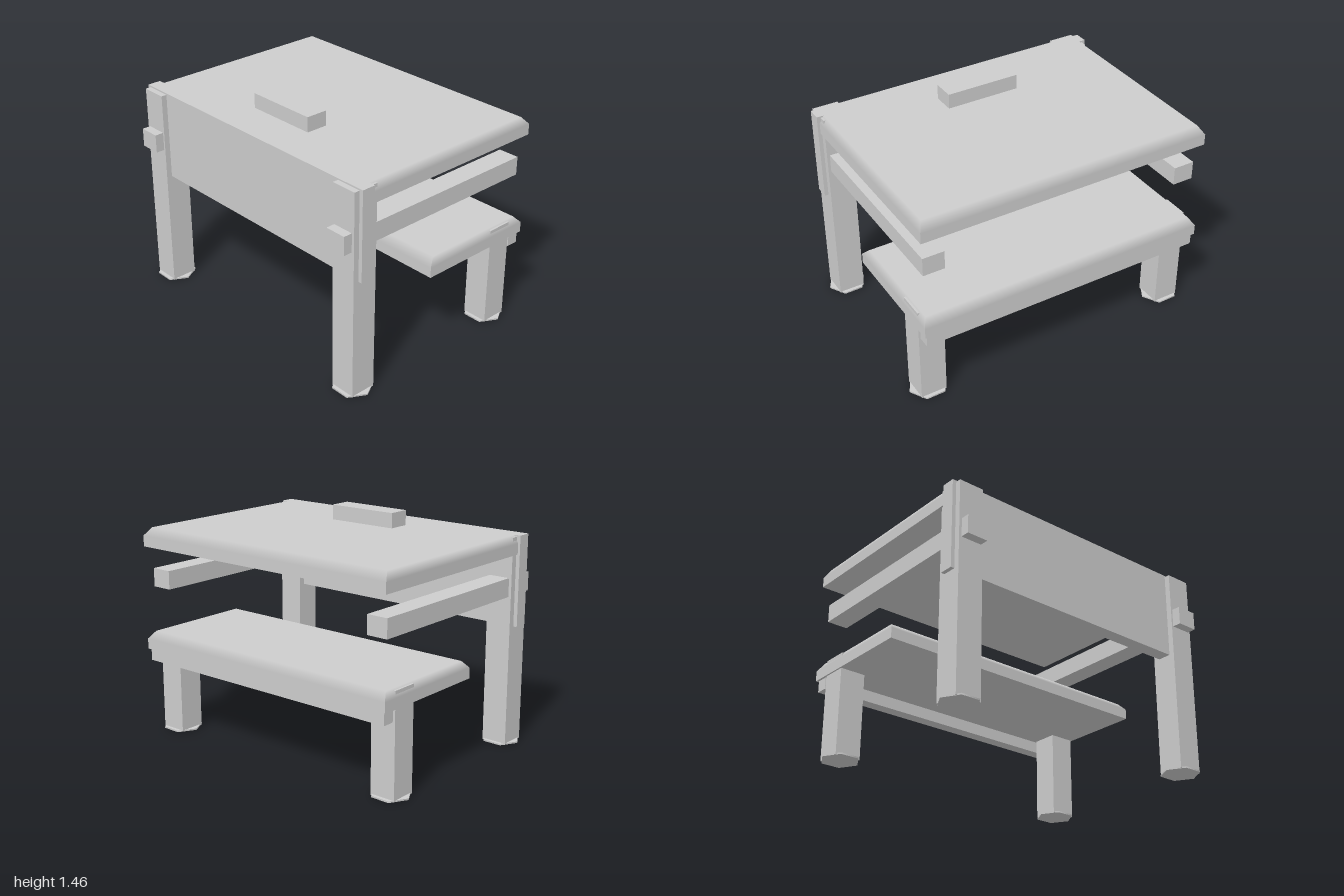
import * as THREE from 'three';

const grey = new THREE.MeshStandardMaterial({ color: 0xcccccc });
grey.name = 'light grey';

// Box given by its min and max on each axis
function box(name, x0, x1, y0, y1, z0, z1) {
  const mesh = new THREE.Mesh(new THREE.BoxGeometry(x1 - x0, y1 - y0, z1 - z0), grey);
  mesh.position.set((x0 + x1) / 2, (y0 + y1) / 2, (z0 + z1) / 2);
  mesh.name = name;
  return mesh;
}

// Board with softly shaded bevels round its top; bevel sizes: side, back, front, height
function board(name, hx, y0, y1, z0, z1, bevelX, bevelBack, bevelFront, bevelY) {
  const ring = (y, dx, db, df) => [
    [-hx + dx, y, z1 - df], [hx - dx, y, z1 - df],
    [hx - dx, y, z0 + db], [-hx + dx, y, z0 + db],
  ];
  const low = ring(y0, 0, 0, 0);
  const mid = ring(y1 - bevelY, 0, 0, 0);
  const top = ring(y1, bevelX, bevelBack, bevelFront);
  const up = [0, 1, 0], down = [0, -1, 0];
  const out = [[0, 0, 1], [1, 0, 0], [0, 0, -1], [-1, 0, 0]];
  const positions = [], normals = [];
  // Corners counter-clockwise from outside; n1 for the first two, n2 for the last two
  const quad = (a, b, c, d, n1, n2) => {
    positions.push(...a, ...b, ...c, ...a, ...c, ...d);
    normals.push(...n1, ...n1, ...n2, ...n1, ...n2, ...n2);
  };
  out.forEach((n, i) => {
    const j = (i + 1) % 4;
    const bevelled = i !== 0 || bevelFront > 0;
    quad(low[i], low[j], mid[j], mid[i], n, n);
    quad(mid[i], mid[j], top[j], top[i], n, bevelled ? up : n);
  });
  quad(...top, up, up);
  quad(low[3], low[2], low[1], low[0], down, down);
  const geometry = new THREE.BufferGeometry();
  geometry.setAttribute('position', new THREE.Float32BufferAttribute(positions, 3));
  geometry.setAttribute('normal', new THREE.Float32BufferAttribute(normals, 3));
  const mesh = new THREE.Mesh(geometry, grey);
  mesh.name = name;
  return mesh;
}

// Square leg on a thin hexagonal foot
function leg(name, x, z, height) {
  const group = new THREE.Group();
  group.name = name;
  group.add(box(name + 'Post', -0.085, 0.085, 0.002, height, -0.085, 0.085));
  const foot = new THREE.Mesh(new THREE.CylinderGeometry(0.125, 0.125, 0.01, 6), grey);
  foot.rotation.y = Math.PI / 6;
  foot.position.y = 0.005;
  foot.name = name + 'Foot';
  group.add(foot);
  group.position.set(x, 0, z);
  return group;
}

export function createModel() {
  const desk = new THREE.Group();
  desk.name = 'deskWithBench';

  // Desk top, front panel and the block resting on top
  desk.add(board('deskTop', 0.97, 1.24, 1.36, -0.75, 0.565, 0.03, 0.047, 0, 0.05));
  desk.add(box('frontPanel', -0.985, 0.985, 0.78, 1.36, 0.565, 0.655));
  desk.add(box('topBlock', -0.243, 0.243, 1.36, 1.457, 0.242, 0.387));

  // Bench seat and its rear rail
  desk.add(board('benchSeat', 0.97, 0.565, 0.68, -0.75, 0.073, 0.03, 0.047, 0.047, 0.047));
  desk.add(box('benchRail', -0.955, 0.955, 0.488, 0.565, -0.737, -0.657));

  // Legs and side rails, mirrored left and right
  for (const [side, s] of [['left', 1], ['right', -1]]) {
    desk.add(leg(side + 'FrontLeg', s * 0.875, 0.607, 1.35));
    desk.add(leg(side + 'BackLeg', s * 0.875, -0.557, 0.67));
    const x = s * 0.872;
    desk.add(box(side + 'SideRail', x - 0.07, x + 0.07, 0.975, 1.095, -0.70, 0.75));
  }
  return desk;
}
